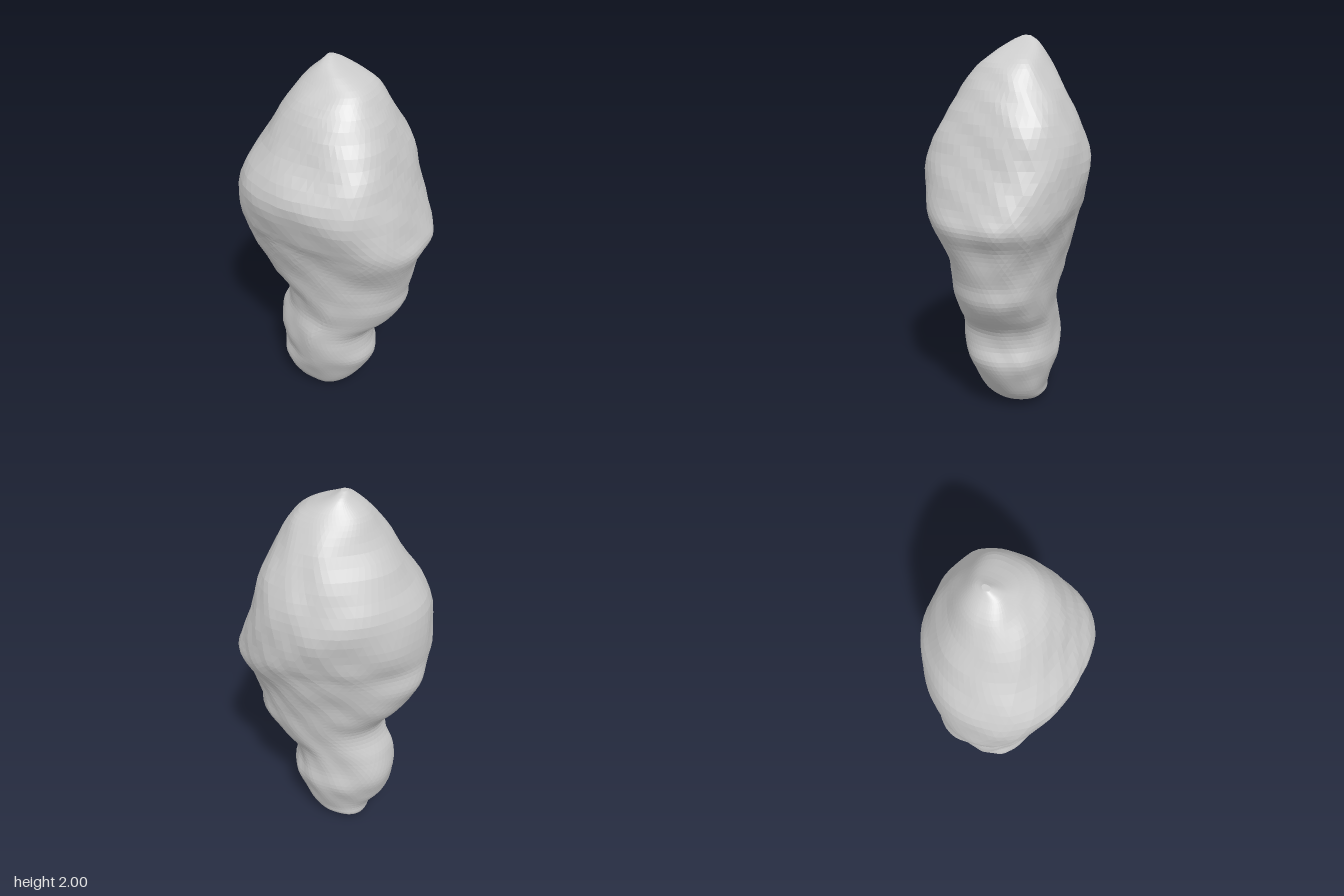
import * as THREE from 'three';

// Cross-sections of the boulder: height, x range, z range
const SECTIONS = [
  [0.0, -0.18, -0.01, -0.07, 0.05],
  [0.04, -0.205, 0.06, -0.165, 0.11],
  [0.1, -0.23, 0.13, -0.185, 0.155],
  [0.2, -0.3, 0.19, -0.21, 0.2],
  [0.3, -0.335, 0.235, -0.235, 0.24],
  [0.4, -0.35, 0.22, -0.23, 0.26],
  [0.5, -0.33, 0.24, -0.23, 0.26],
  [0.6, -0.285, 0.33, -0.24, 0.25],
  [0.7, -0.29, 0.395, -0.26, 0.265],
  [0.8, -0.38, 0.4, -0.28, 0.27],
  [0.9, -0.44, 0.425, -0.3, 0.28],
  [1.0, -0.48, 0.45, -0.33, 0.3],
  [1.1, -0.49, 0.49, -0.36, 0.33],
  [1.2, -0.495, 0.46, -0.39, 0.37],
  [1.4, -0.475, 0.39, -0.41, 0.41],
  [1.6, -0.37, 0.325, -0.35, 0.31],
  [1.8, -0.25, 0.225, -0.25, 0.2],
  [1.9, -0.19, 0.15, -0.19, 0.1],
  [1.97, -0.11, 0.0, -0.13, 0.02],
  [2.0, -0.08, -0.05, -0.08, -0.04],
];

// Squareness of the four corners: front left, front right, back right, back left
const CORNERS = [
  [0.0, 2.2, 4.0, 2.4, 2.0],
  [0.1, 2.2, 3.0, 2.5, 2.0],
  [0.3, 2.1, 1.45, 2.6, 1.9],
  [0.5, 2.0, 1.35, 2.5, 1.9],
  [0.68, 1.7, 1.7, 2.3, 2.1],
  [0.85, 2.1, 2.0, 2.1, 2.2],
  [1.1, 2.9, 2.6, 1.75, 2.6],
  [1.5, 2.8, 2.6, 1.85, 2.9],
  [2.0, 2.5, 2.6, 1.8, 2.7],
];

// Smooth curve through one pair of limits (lower, upper, height)
const limits = (k) => new THREE.CatmullRomCurve3(
  SECTIONS.map((s) => new THREE.Vector3(s[k], s[k + 1], s[0])), false, 'catmullrom');

function squareness(y, quadrant) {
  const i = Math.max(1, CORNERS.findIndex((c) => c[0] >= y));
  const [a, b] = [CORNERS[i - 1], CORNERS[i]];
  const t = THREE.MathUtils.smoothstep(y, a[0], b[0]);
  return THREE.MathUtils.lerp(a[quadrant + 1], b[quadrant + 1], t);
}

// Layered waves give the weathered lumps
function lumps(x, y, z) {
  return 0.005 * Math.sin(11 * x + 9 * y + 2) * Math.cos(10 * z - 7 * y)
    + 0.004 * Math.sin(19 * y + 13 * z) * Math.cos(17 * x + 5 * y)
    + 0.002 * Math.sin(37 * x - 23 * y + 29 * z);
}

function boulderGeometry(rows, sides) {
  const xs = limits(1), zs = limits(3);
  const pos = [], index = [];

  for (let i = 0; i <= rows; i++) {
    const px = xs.getPoint(i / rows), pz = zs.getPoint(i / rows);
    const y = THREE.MathUtils.clamp(px.z, 0, 2);
    // The front and back bulge a little left of the middle
    const cx = THREE.MathUtils.lerp(px.x, px.y, 0.54);
    const cz = (pz.x + pz.y) / 2, rz = (pz.y - pz.x) / 2;
    for (let j = 0; j < sides; j++) {
      const turn = (j + (i % 2) * 0.5) / sides;
      const c = Math.cos(turn * Math.PI * 2), s = Math.sin(turn * Math.PI * 2);
      const n = squareness(y, Math.floor(turn * 4));
      const r = (Math.abs(c) ** n + Math.abs(s) ** n) ** (-1 / n);
      const rx = c > 0 ? px.y - cx : cx - px.x;
      const x = cx + rx * r * c, z = cz + rz * r * s;
      // Lumps fade towards the two ends
      const d = lumps(x, y, z) * Math.min(1, rz * 5);
      pos.push(x + d * c, y, z + d * s);
    }
  }

  // Side faces, with the diagonal following the half-step between rows
  for (let i = 0; i < rows; i++) {
    for (let j = 0; j < sides; j++) {
      const k = (j + 1) % sides;
      const a = i * sides + j, b = i * sides + k;
      const c = a + sides, d = b + sides;
      if (i % 2) index.push(a, d, b, a, c, d);
      else index.push(a, c, b, b, c, d);
    }
  }

  // Close the foot and the tip
  const foot = pos.length / 3, tip = foot + 1, last = rows * sides;
  pos.push(-0.09, 0, -0.01, -0.065, 2, -0.06);
  for (let j = 0; j < sides; j++) {
    const k = (j + 1) % sides;
    index.push(foot, j, k, tip, last + k, last + j);
  }

  const geometry = new THREE.BufferGeometry();
  geometry.setAttribute('position', new THREE.Float32BufferAttribute(pos, 3));
  geometry.setIndex(index);
  geometry.computeVertexNormals();
  return geometry;
}

export function createModel() {
  const group = new THREE.Group();
  group.name = 'rock';
  const stone = new THREE.MeshStandardMaterial({ color: 0xcccccc, flatShading: true });
  const boulder = new THREE.Mesh(boulderGeometry(76, 64), stone);
  boulder.name = 'boulder';
  group.add(boulder);
  return group;
}
